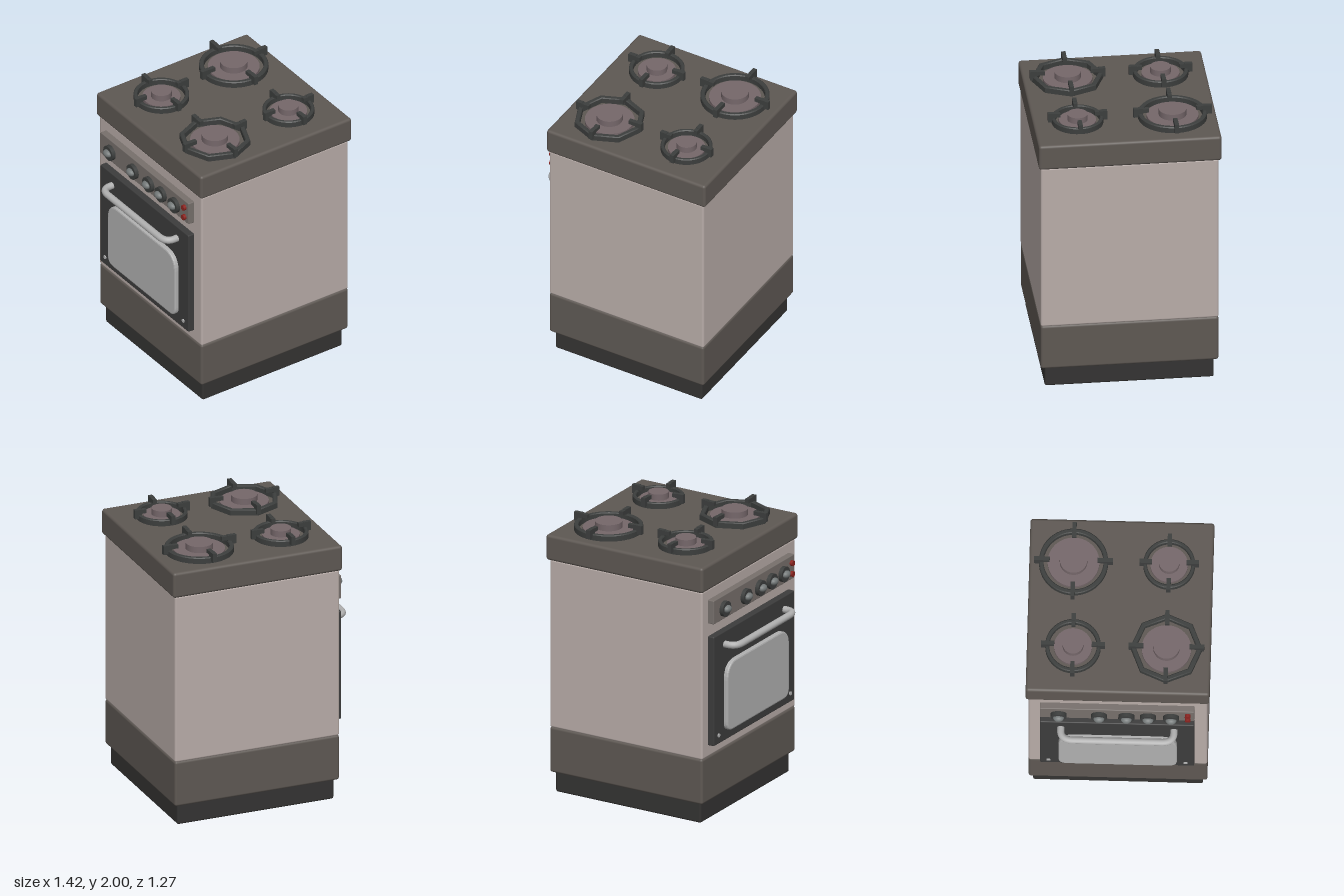
import * as THREE from 'three';
import { RoundedBoxGeometry } from 'three/addons/geometries/RoundedBoxGeometry.js';
import { toCreasedNormals } from 'three/addons/utils/BufferGeometryUtils.js';

const mat = (color) => new THREE.MeshStandardMaterial({ color });
const enamel = mat(0xb8aca8), brown = mat(0x5e5853), dark = mat(0x343332), iron = mat(0x3c3e3d);
const burnerMat = mat(0x75676a), steel = mat(0xb0b0b0), panelMat = mat(0x77706c);
const knobMat = mat(0x737878), red = mat(0x8c2420), doorMat = mat(0x3c3c3c);

function add(parent, name, geometry, material, x = 0, y = 0, z = 0) {
  const mesh = new THREE.Mesh(geometry, material);
  mesh.name = name;
  mesh.position.set(x, y, z);
  parent.add(mesh);
  return mesh;
}

// Rounded block given by its limits
function block(parent, name, material, [x0, x1], [y0, y1], [z0, z1], r) {
  return add(parent, name, new RoundedBoxGeometry(x1 - x0, y1 - y0, z1 - z0, 3, r), material,
    (x0 + x1) / 2, (y0 + y1) / 2, (z0 + z1) / 2);
}

// Disc whose axis points out of the oven side (-x)
function stud(parent, name, material, rOuter, rInner, x0, x1, y, z) {
  const g = new THREE.CylinderGeometry(rOuter, rInner, x0 - x1, 24).rotateZ(Math.PI / 2);
  return add(parent, name, g, material, (x0 + x1) / 2, y, z);
}

function createBurner({ x, z, ring, width, reach, inner, pan, cap, sides }) {
  const burner = new THREE.Group();
  burner.name = 'burner';
  burner.position.set(x, 1.915, z);
  add(burner, 'burnerPan', new THREE.CylinderGeometry(pan, pan, 0.03, 40), burnerMat, 0, 0.01, 0);
  add(burner, 'burnerCap', new THREE.CylinderGeometry(cap, cap, 0.05, 32), burnerMat, 0, 0.045, 0);

  // Bevelled support ring
  const a = ring - width, b = ring, e = 0.006;
  const profile = [[a, 0.004], [b, 0.004], [b, 0.042], [b - e, 0.048], [a + e, 0.048], [a, 0.042], [a, 0.004]]
    .map(([r, y]) => new THREE.Vector2(r, y));
  add(burner, 'supportRing', toCreasedNormals(new THREE.LatheGeometry(profile, sides), 0.6), iron);

  // Four prongs: a post on the ring and an arm reaching inwards
  for (let i = 0; i < 4; i++) {
    const prong = new THREE.Group();
    prong.name = 'prong';
    prong.rotation.y = i * Math.PI / 2;
    const post = reach - ring + width;
    add(prong, 'prongPost', new THREE.BoxGeometry(post, 0.065, 0.03), iron, reach - post / 2, 0.0525, 0);
    add(prong, 'prongArm', new THREE.BoxGeometry(reach - inner, 0.028, 0.03), iron, (reach + inner) / 2, 0.068, 0);
    burner.add(prong);
  }
  return burner;
}

// Rounded oven window with softer top corners
function windowGeometry(w, h, rTop, rBottom) {
  const s = new THREE.Shape(), x = w / 2, y = h / 2;
  s.moveTo(-x + rBottom, -y);
  s.lineTo(x - rBottom, -y);
  s.quadraticCurveTo(x, -y, x, -y + rBottom);
  s.lineTo(x, y - rTop);
  s.quadraticCurveTo(x, y, x - rTop, y);
  s.lineTo(-x + rTop, y);
  s.quadraticCurveTo(-x, y, -x, y - rTop);
  s.lineTo(-x, -y + rBottom);
  s.quadraticCurveTo(-x, -y, -x + rBottom, -y);
  const g = new THREE.ExtrudeGeometry(s, {
    depth: 0.025, bevelThickness: 0.01, bevelSize: 0.012, bevelOffset: -0.012, bevelSegments: 2, curveSegments: 8,
  });
  return g.rotateY(-Math.PI / 2);
}

export function createModel() {
  const stove = new THREE.Group();
  stove.name = 'stove';

  // Cabinet
  block(stove, 'plinth', dark, [-0.52, 0.66], [0, 0.17], [-0.59, 0.59], 0.015);
  block(stove, 'drawer', brown, [-0.55, 0.69], [0.15, 0.487], [-0.62, 0.62], 0.018);
  block(stove, 'body', enamel, [-0.55, 0.69], [0.483, 1.73], [-0.62, 0.62], 0.015);
  block(stove, 'hob', brown, [-0.565, 0.71], [1.727, 1.915], [-0.64, 0.635], 0.02);

  // Burners
  [
    { x: -0.235, z: -0.32, ring: 0.193, width: 0.028, reach: 0.222, inner: 0.13, pan: 0.132, cap: 0.072, sides: 40 },
    { x: 0.385, z: -0.333, ring: 0.24, width: 0.032, reach: 0.274, inner: 0.165, pan: 0.18, cap: 0.096, sides: 48 },
    { x: -0.235, z: 0.328, ring: 0.25, width: 0.036, reach: 0.262, inner: 0.16, pan: 0.172, cap: 0.092, sides: 8 },
    { x: 0.385, z: 0.33, ring: 0.18, width: 0.026, reach: 0.206, inner: 0.12, pan: 0.13, cap: 0.071, sides: 40 },
  ].forEach((b) => stove.add(createBurner(b)));

  // Control panel with knobs and two red switches
  block(stove, 'controlPanel', panelMat, [-0.597, -0.54], [1.475, 1.65], [-0.54, 0.53], 0.006);
  [-0.41, -0.13, 0.06, 0.21, 0.37].forEach((z) => {
    const knob = new THREE.Group();
    knob.name = 'knob';
    stud(knob, 'knobBase', iron, 0.056, 0.056, -0.595, -0.625, 1.555, z);
    const grip = add(knob, 'knobGrip', new THREE.SphereGeometry(0.032, 20, 12), knobMat, -0.627, 1.557, z);
    grip.scale.set(0.9, 0.85, 1.2);
    stove.add(knob);
  });
  [1.518, 1.598].forEach((y) => stud(stove, 'redSwitch', red, 0.02, 0.02, -0.595, -0.618, y, 0.485));

  // Oven door, window and corner screws
  block(stove, 'ovenDoor', doorMat, [-0.598, -0.54], [0.57, 1.38], [-0.54, 0.53], 0.008);
  add(stove, 'ovenWindow', windowGeometry(0.82, 0.51, 0.13, 0.07), steel, -0.595, 0.895, 0);
  [-0.48, 0.47].forEach((z) => stud(stove, 'doorScrew', steel, 0.014, 0.014, -0.595, -0.605, 0.635, z));

  // Bent tube handle
  const path = new THREE.CurvePath();
  const p = (x, z) => new THREE.Vector3(x, 1.285, z);
  path.add(new THREE.LineCurve3(p(-0.585, -0.395), p(-0.62, -0.395)));
  path.add(new THREE.QuadraticBezierCurve3(p(-0.62, -0.395), p(-0.69, -0.395), p(-0.69, -0.31)));
  path.add(new THREE.LineCurve3(p(-0.69, -0.31), p(-0.69, 0.305)));
  path.add(new THREE.QuadraticBezierCurve3(p(-0.69, 0.305), p(-0.69, 0.39), p(-0.62, 0.39)));
  path.add(new THREE.LineCurve3(p(-0.62, 0.39), p(-0.585, 0.39)));
  add(stove, 'doorHandle', new THREE.TubeGeometry(path, 80, 0.025, 14), steel);

  return stove;
}
